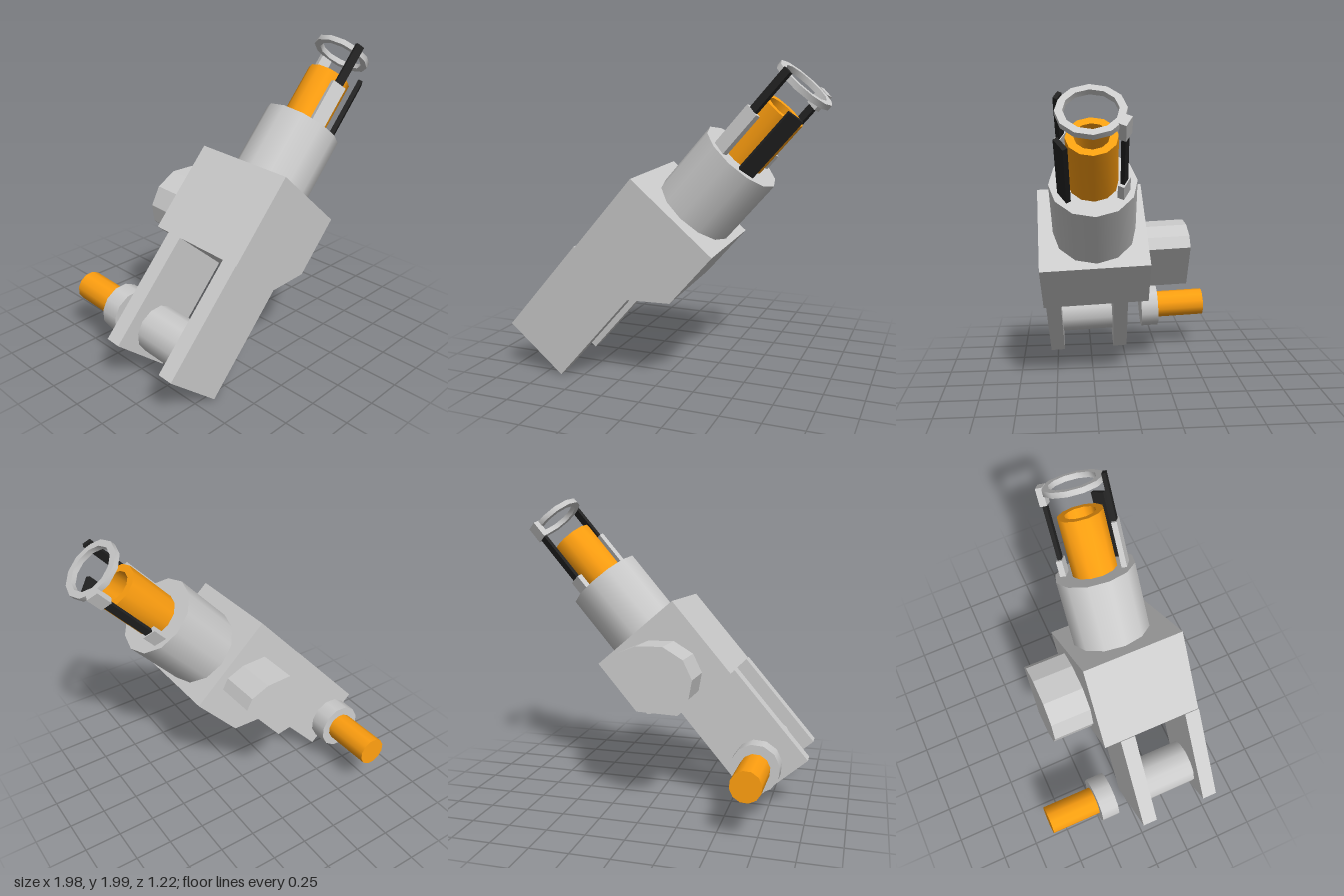
import * as THREE from 'three';
import { toCreasedNormals } from 'three/addons/utils/BufferGeometryUtils.js';

const grey = new THREE.MeshStandardMaterial({ color: 0xcccccc });
const orange = new THREE.MeshStandardMaterial({ color: 0xff9f10 });
const black = new THREE.MeshStandardMaterial({ color: 0x222222 });

export function createModel() {
  // whole model leans slightly about x; the limb's long axis is local +y
  const model = new THREE.Group();
  model.name = 'roboticArm';
  model.rotation.x = 0.045;
  const limb = new THREE.Group();
  limb.name = 'limb';
  limb.rotation.z = THREE.MathUtils.degToRad(-41.2);
  model.add(limb);

  const add = (parent, name, geo, mat, x = 0, y = 0, z = 0) => {
    const mesh = new THREE.Mesh(geo, mat);
    mesh.name = name;
    mesh.position.set(x, y, z);
    parent.add(mesh);
    return mesh;
  };
  // box and cylinder given by their start and end along one axis
  const barZ = (name, r, z0, z1, x, y, mat, sides = 12) => {
    const geo = new THREE.CylinderGeometry(r, r, z1 - z0, sides).rotateX(Math.PI / 2);
    return add(limb, name, geo, mat, x, y, (z0 + z1) / 2);
  };
  const extrude = (points, z0, z1) => {
    const shape = new THREE.Shape(points.map(([x, y]) => new THREE.Vector2(x, y)));
    return new THREE.ExtrudeGeometry(shape, { depth: z1 - z0, bevelEnabled: false }).translate(0, 0, z0);
  };
  const lathe = (points, sides) =>
    toCreasedNormals(new THREE.LatheGeometry(points.map(([r, y]) => new THREE.Vector2(r, y)), sides), 0.6);

  // main block with a sloped lower corner
  add(limb, 'mainBlock', extrude(
    [[-0.962, 0.347], [-0.505, 0.347], [-0.3, 0.537], [-0.3, 0.942], [-0.962, 0.942]], -0.135, 0.55), grey);

  // two fork plates with the axle between them
  for (const [name, z] of [['frontForkPlate', 0.5], ['backForkPlate', 0.027]]) {
    add(limb, name, new THREE.BoxGeometry(0.467, 0.745, 0.103), grey, -0.736, -0.025, z);
  }
  barZ('axle', 0.155, 0.06, 0.47, -0.732, -0.205, grey);

  // detached pin with its collar behind the fork
  barZ('pinCollar', 0.157, -0.27, -0.145, -0.733, -0.205, grey);
  barZ('pin', 0.098, -0.62, -0.27, -0.733, -0.205, orange);

  // flat-sided motor housing on the back of the block
  add(model, 'motorHousing', extrude(
    [[0.21, 0.96], [0.17, 1.03], [0.05, 1.08], [-0.12, 1.085], [-0.25, 1.01], [-0.31, 0.89],
      [-0.29, 0.77], [-0.2, 0.69], [-0.03, 0.66]], -0.41, -0.12), grey);

  // turret, barrel and end ring share one axis
  const head = new THREE.Group();
  head.name = 'head';
  head.position.set(-0.6, 0, 0.195);
  limb.add(head);
  add(head, 'turret', new THREE.CylinderGeometry(0.262, 0.262, 0.475, 12), grey, 0, 1.157);
  add(head, 'barrel', lathe([[0.148, 1.39], [0.148, 1.77], [0.1, 1.77], [0.1, 1.39]], 12), orange);
  add(head, 'endRing', lathe(
    [[0.15, 1.935], [0.193, 1.935], [0.193, 1.97], [0.15, 1.97], [0.15, 1.935]], 12), grey);

  // rails round the barrel: [name, start, end, width, thickness, material]
  const rails = [
    [60, [['shortRail', 1.38, 1.825, 0.1, 0.03, black]]],
    [120, [['railGuide', 1.38, 1.69, 0.1, 0.035, grey], ['slidingRail', 1.6, 1.985, 0.055, 0.025, black]]],
    [-60, [['railFoot', 1.38, 1.5, 0.09, 0.04, grey], ['thinRail', 1.45, 1.9, 0.05, 0.025, black],
      ['ringBracket', 1.86, 1.975, 0.08, 0.045, grey]]],
  ];
  for (const [angle, parts] of rails) {
    const rail = new THREE.Group();
    rail.name = 'rail';
    rail.rotation.y = -THREE.MathUtils.degToRad(angle);
    head.add(rail);
    for (const [name, y0, y1, width, thick, mat] of parts) {
      add(rail, name, new THREE.BoxGeometry(thick, y1 - y0, width), mat, 0.2, (y0 + y1) / 2, 0);
    }
  }
  return model;
}
